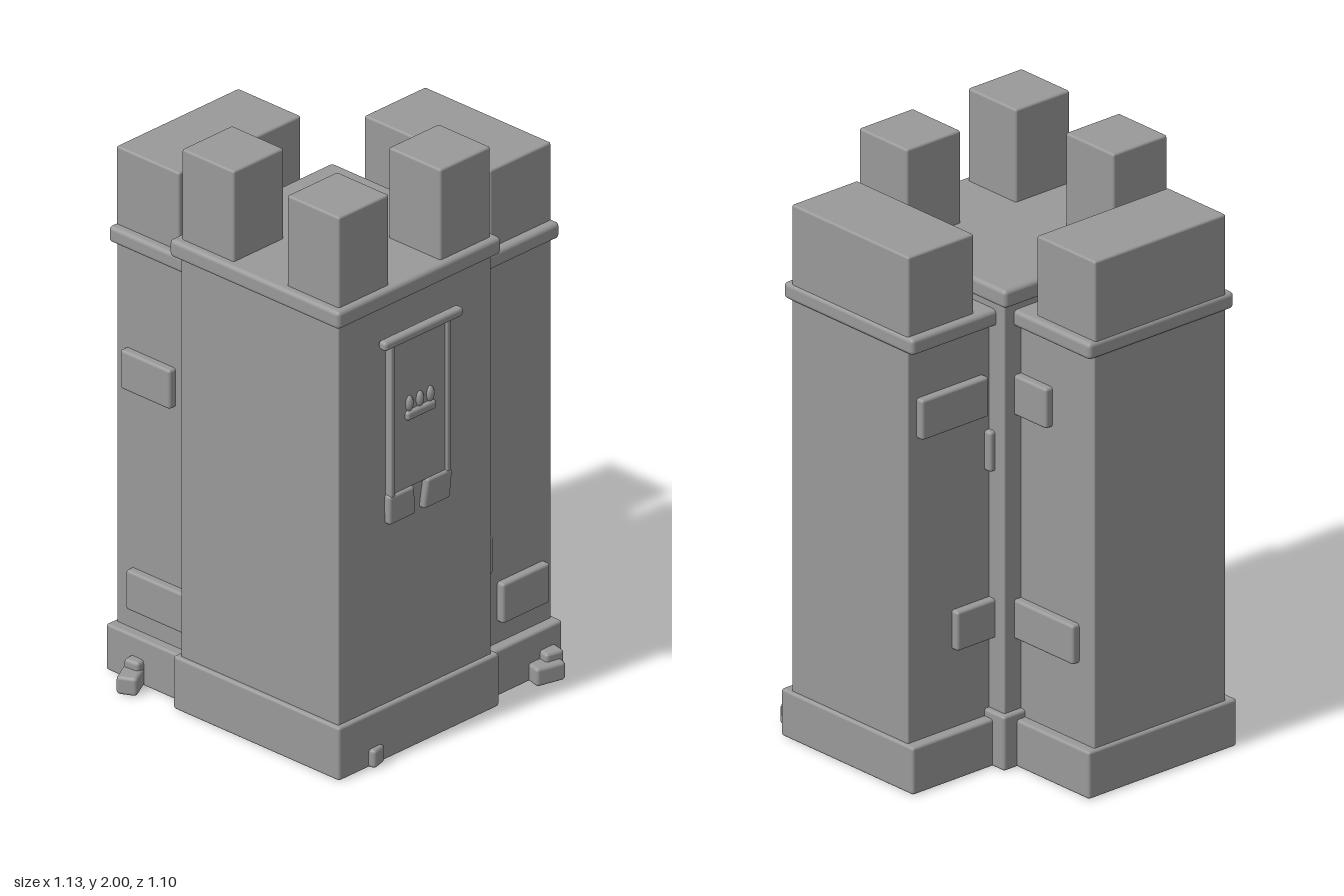
import * as THREE from 'three';
import { RoundedBoxGeometry } from 'three/addons/geometries/RoundedBoxGeometry.js';

export function createModel() {
  const root = new THREE.Group();
  root.name = 'castleTower';
  const stone = new THREE.MeshStandardMaterial({ color: 0x999999 });
  stone.name = 'stone grey';

  // Softly bevelled block given by its extents on each axis
  function block(parent, name, [x0, x1], [y0, y1], [z0, z1], bevel = 0.01, turn = 0) {
    const w = x1 - x0, h = y1 - y0, d = z1 - z0;
    const r = Math.min(bevel, 0.45 * Math.min(w, h, d));
    const mesh = new THREE.Mesh(new RoundedBoxGeometry(w, h, d, 2, r), stone);
    mesh.position.set((x0 + x1) / 2, (y0 + y1) / 2, (z0 + z1) / 2);
    mesh.rotation.y = turn;
    mesh.name = name;
    parent.add(mesh);
    return mesh;
  }
  function group(name) {
    const g = new THREE.Group();
    g.name = name;
    root.add(g);
    return g;
  }

  // Main tower with three corner merlons
  const tower = group('mainTower');
  block(tower, 'towerBase', [-0.515, 0.22], [0, 0.19], [-0.21, 0.525]);
  block(tower, 'towerBody', [-0.5, 0.2], [0.1, 1.65], [-0.19, 0.508], 0.005);
  block(tower, 'towerTrim', [-0.523, 0.225], [1.615, 1.678], [-0.22, 0.53], 0.015);
  for (const [x, z] of [[-0.38, -0.075], [-0.38, 0.39], [0.085, 0.39]]) {
    block(tower, 'merlon', [x - 0.115, x + 0.115], [1.66, 2], [z - 0.115, z + 0.115], 0.008);
  }

  // Wing on the left side
  const sideWing = group('sideWing');
  block(sideWing, 'sideBase', [0.15, 0.56], [0, 0.165], [-0.155, 0.475]);
  block(sideWing, 'sideBody', [0.15, 0.547], [0.1, 1.56], [-0.117, 0.437], 0.005);
  block(sideWing, 'sideTrim', [0.15, 0.558], [1.527, 1.585], [-0.15, 0.467], 0.015);
  block(sideWing, 'sideMerlon', [0.27, 0.55], [1.57, 1.862], [-0.122, 0.435], 0.008);

  // Wing at the back
  const backWing = group('backWing');
  block(backWing, 'backBase', [-0.467, 0.165], [0, 0.165], [-0.553, -0.15]);
  block(backWing, 'backBody', [-0.43, 0.13], [0.1, 1.56], [-0.54, -0.15], 0.005);
  block(backWing, 'backTrim', [-0.46, 0.16], [1.527, 1.585], [-0.55, -0.15], 0.015);
  block(backWing, 'backMerlon', [-0.43, 0.13], [1.57, 1.862], [-0.543, -0.265], 0.008);

  // Raised bricks on the wing walls
  const bricks = group('bricks');
  const rows = [[0.24, 0.382], [0.438, 0.575], [1.02, 1.16], [1.218, 1.358]];
  const zFront = [0.41, 0.465], zRear = [-0.145, -0.09];
  const xInner = [0.1, 0.158], xOuter = [-0.458, -0.4];
  block(bricks, 'brick', [0.3, 0.515], rows[0], zFront);
  block(bricks, 'brick', [0.15, 0.255], rows[1], zFront);
  block(bricks, 'brick', [0.15, 0.36], rows[1], zRear);
  block(bricks, 'brick', [0.15, 0.22], rows[2], zRear);
  block(bricks, 'brick', [0.225, 0.51], rows[3], zRear);
  block(bricks, 'brick', xInner, rows[1], [-0.468, -0.15]);
  block(bricks, 'brick', xInner, rows[3], [-0.34, -0.15]);
  block(bricks, 'brick', xOuter, rows[0], [-0.475, -0.15]);
  block(bricks, 'brick', xOuter, rows[2], [-0.5, -0.28]);

  // Hanging banner: rod, cloth, hems, two tails and a small crown
  const banner = group('banner');
  const cx = -0.148;
  block(banner, 'bannerRod', [cx - 0.18, cx + 0.18], [1.472, 1.505], [0.515, 0.55], 0.012);
  block(banner, 'bannerCloth', [cx - 0.13, cx + 0.13], [0.935, 1.475], [0.5, 0.526], 0.004);
  for (const s of [-1, 1]) {
    const hx = cx + s * 0.128, tx = cx + s * 0.079;
    block(banner, 'bannerHem', [hx - 0.01, hx + 0.01], [0.93, 1.47], [0.5, 0.535], 0.006);
    const tail = block(banner, 'bannerTail', [tx - 0.061, tx + 0.061], [0.832, 0.938], [0.503, 0.533], 0.01);
    // Tails narrow slightly towards the bottom
    const p = tail.geometry.attributes.position;
    for (let i = 0; i < p.count; i++) {
      if (p.getY(i) > 0) p.setX(i, p.getX(i) + s * (p.getX(i) * s < 0 ? 0.012 : 0.004));
    }
    tail.rotation.x = 0.06;
  }
  block(banner, 'crownBand', [cx - 0.066, cx + 0.066], [1.18, 1.212], [0.515, 0.54], 0.01);
  for (const dx of [-0.048, 0, 0.048]) {
    const point = new THREE.Mesh(new THREE.SphereGeometry(1, 12, 10), stone);
    point.scale.set(0.016, 0.028, 0.014);
    point.position.set(cx + dx, 1.236, 0.526);
    point.name = 'crownPoint';
    banner.add(point);
  }

  // Loose stones around the foot
  const rubble = group('rubble');
  block(rubble, 'looseStone', [0.4, 0.51], [0, 0.065], [0.468, 0.538], 0.012, -0.26);
  block(rubble, 'looseStone', [0.455, 0.525], [0.03, 0.093], [0.455, 0.518], 0.012, -0.2);
  block(rubble, 'looseStone', [-0.56, -0.455], [0, 0.065], [-0.437, -0.367], 0.012, 0.48);
  block(rubble, 'looseStone', [-0.5, -0.43], [0.03, 0.093], [-0.445, -0.385], 0.012, 0.1);
  block(rubble, 'looseStone', [-0.382, -0.32], [0, 0.065], [0.48, 0.542], 0.012, 0.25);

  return root;
}
